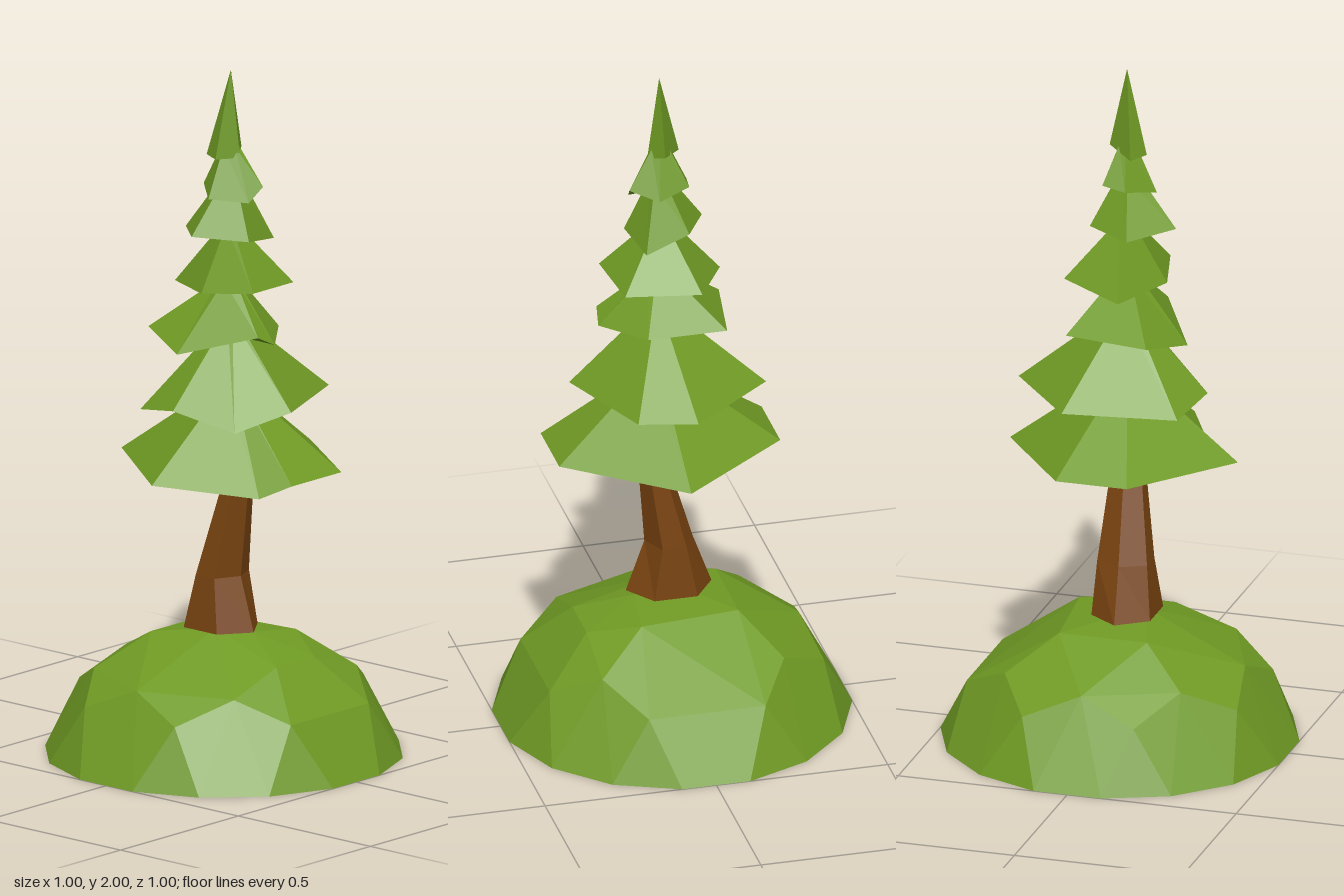
import * as THREE from 'three';
import { ConvexGeometry } from 'three/addons/geometries/ConvexGeometry.js';

const material = (name, color) =>
  new THREE.MeshStandardMaterial({ name, color, flatShading: true, side: THREE.DoubleSide });

// Flat-shaded skin through matching rings of [x, y, z] points, closed at both ends by a fan
function loft(rings) {
  const pos = [];
  const tri = (a, b, c) => pos.push(...a, ...b, ...c);
  const n = rings[0].length;
  for (let r = 0; r < rings.length - 1; r++) {
    for (let i = 0; i < n; i++) {
      const j = (i + 1) % n, lo = rings[r], hi = rings[r + 1];
      tri(lo[i], hi[j], lo[j]);
      tri(lo[i], hi[i], hi[j]);
    }
  }
  const mid = (ring) => [0, 1, 2].map((k) => ring.reduce((s, p) => s + p[k], 0) / n);
  const bottom = rings[0], top = rings[rings.length - 1];
  const bm = mid(bottom), tm = mid(top);
  for (let i = 0; i < n; i++) {
    const j = (i + 1) % n;
    tri(bottom[i], bottom[j], bm);
    tri(top[j], top[i], tm);
  }
  const g = new THREE.BufferGeometry();
  g.setAttribute('position', new THREE.Float32BufferAttribute(pos, 3));
  g.computeVertexNormals();
  return g;
}

// Faceted dome: convex skin over a 16-sided foot, left open underneath
function moundGeometry() {
  const pts = [];
  for (let i = 0; i < 16; i++) {
    const a = ((i + 0.5) / 16) * Math.PI * 2;
    pts.push(new THREE.Vector3(Math.cos(a) * 0.51, 0, Math.sin(a) * 0.51));
  }
  const add = (x, y, z) => pts.push(new THREE.Vector3(x, y, z));
  for (const s of [-1, 1]) {
    add(0.4, 0.18, s * 0.165);
    add(-0.4, 0.18, s * 0.165);
    add(s * 0.17, 0.18, 0.4);
    add(s * 0.17, 0.18, -0.4);
    add(0.27, 0.25, s * 0.26);
    add(-0.26, 0.25, s * 0.26);
    add(0.27, 0.31, s * 0.08);
    add(-0.16, 0.35, s * 0.13);
  }
  add(-0.37, 0.25, 0);
  add(0, 0.25, 0.37);
  add(0.13, 0.35, -0.16);
  add(0.03, 0.38, 0.07);
  add(0.11, 0.37, 0);
  const p = new ConvexGeometry(pts).getAttribute('position');
  const kept = [];
  for (let i = 0; i < p.count; i += 3) {
    if (Math.max(p.getY(i), p.getY(i + 1), p.getY(i + 2)) < 0.001) continue;
    for (let k = i; k < i + 3; k++) kept.push(p.getX(k), p.getY(k), p.getZ(k));
  }
  const g = new THREE.BufferGeometry();
  g.setAttribute('position', new THREE.Float32BufferAttribute(kept, 3));
  g.computeVertexNormals();
  return g;
}

// Branch tiers: rim corners clockwise from the back, apex, and width of the blunt top
const TIERS = [
  { apex: [0.04, 1.09, 0.01], top: 0.08, rim: [[0.03, 0.85, -0.335], [0.355, 0.86, -0.1],
    [0.355, 0.86, 0.11], [0.28, 0.82, 0.165], [0.03, 0.85, 0.34], [-0.29, 0.86, 0.11], [-0.29, 0.86, -0.1]] },
  { apex: [0.04, 1.28, 0.01], top: 0.08, rim: [[0, 1.05, -0.3], [0.165, 1.05, -0.26],
    [0.29, 1.05, 0.04], [0.2, 1.0, 0.18], [0.03, 1.05, 0.25], [-0.13, 1.02, 0.21], [-0.25, 1.05, -0.095]] },
  { apex: [0.04, 1.39, 0.01], top: 0.15, rim: [[-0.13, 1.24, -0.12], [0.1, 1.24, -0.12],
    [0.21, 1.23, 0.02], [0.2, 1.26, 0.08], [0, 1.2, 0.2], [-0.17, 1.24, 0.13]] },
  { apex: [0.03, 1.55, 0.01], top: 0.12, rim: [[-0.05, 1.38, -0.15], [0.165, 1.38, -0.11],
    [0.19, 1.39, 0.09], [0.03, 1.37, 0.13], [-0.15, 1.36, 0.04]] },
  { apex: [0.04, 1.68, 0.01], top: 0.25, rim: [[-0.03, 1.54, -0.08], [0.1, 1.5, -0.1],
    [0.13, 1.52, 0.04], [0.02, 1.54, 0.16], [-0.1, 1.53, 0.05]] },
  { apex: [0.03, 1.78, 0.01], top: 0.3, rim: [[-0.04, 1.67, -0.04], [0.05, 1.64, -0.055],
    [0.13, 1.67, -0.02], [0.12, 1.63, 0.03], [0.03, 1.64, 0.1], [-0.05, 1.66, 0.03]] },
  { apex: [0.035, 2.0, 0.01], top: 0.01, rim: [[0.03, 1.77, -0.04], [0.07, 1.75, 0.01],
    [0.03, 1.75, 0.07], [-0.03, 1.75, 0.04]] },
];

export function createModel() {
  const tree = new THREE.Group();
  tree.name = 'pineTree';
  const leaf = material('leaf green', 0x6f9a24);
  const bark = material('bark brown', 0x7a4410);
  const add = (name, geometry, mat) => {
    const mesh = new THREE.Mesh(geometry, mat);
    mesh.name = name;
    tree.add(mesh);
  };

  add('mound', moundGeometry(), leaf);

  // Leaning trunk with a flared foot
  const trunkRing = (cx, y, cz, rx, rz) => Array.from({ length: 6 }, (_, i) => {
    const a = (i / 6) * Math.PI * 2;
    return [cx + Math.cos(a) * rx, y, cz + Math.sin(a) * rz];
  });
  add('trunk', loft([
    trunkRing(0.005, 0.375, 0.02, 0.125, 0.1),
    trunkRing(0.007, 0.53, 0.015, 0.07, 0.085),
    trunkRing(0.07, 0.86, 0.005, 0.034, 0.043),
    trunkRing(0.07, 0.92, 0.005, 0.03, 0.035),
  ]), bark);

  // Stacked branch tiers, each narrowing to a blunt top
  TIERS.forEach(({ apex, top, rim }, i) => {
    const crown = rim.map((p) => p.map((v, k) => (k === 1 ? apex[1] : apex[k] + (v - apex[k]) * top)));
    add(i === TIERS.length - 1 ? 'treeTip' : `branchTier${i + 1}`, loft([rim, crown]), leaf);
  });
  return tree;
}
